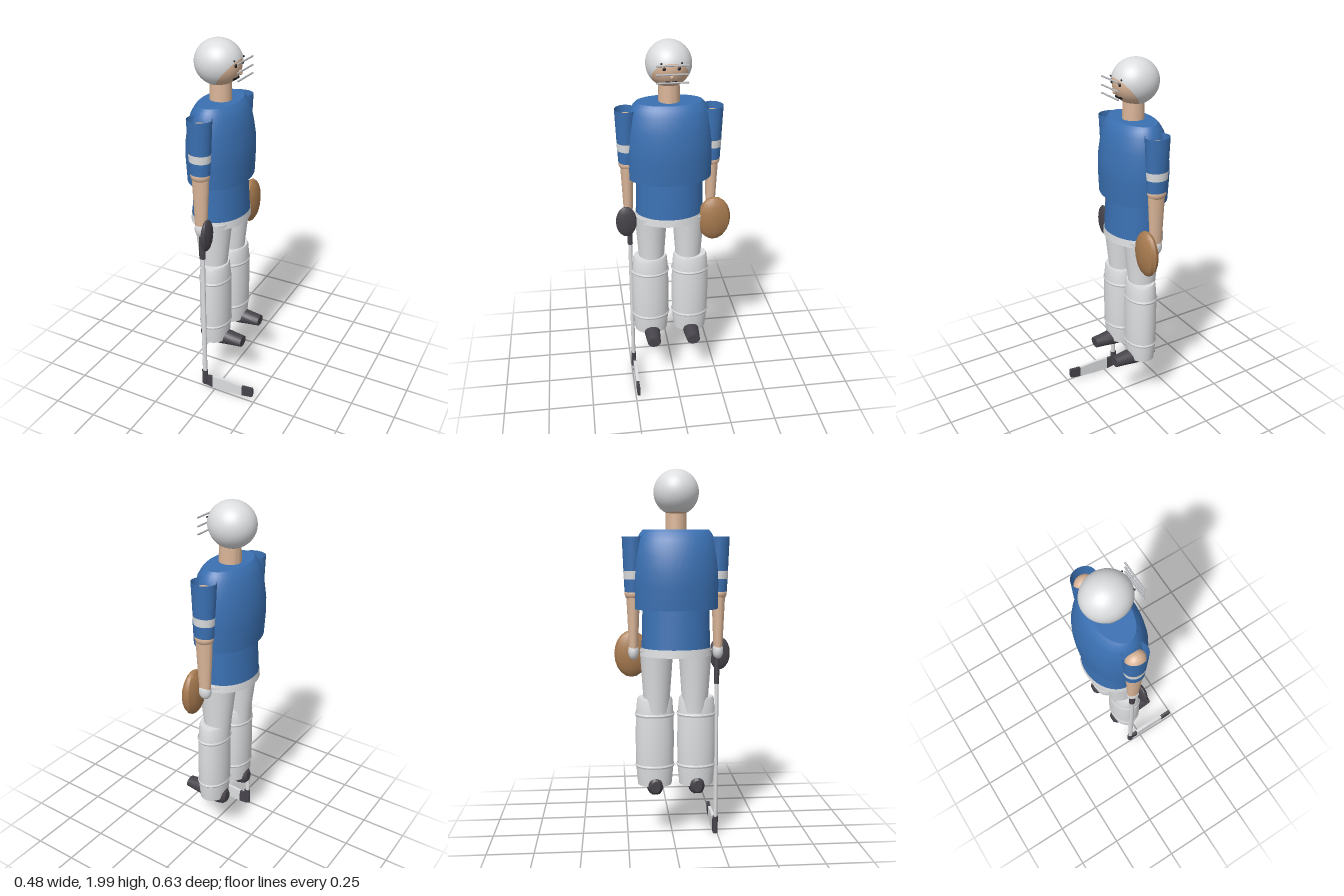
import * as THREE from 'three';
import { toCreasedNormals } from 'three/addons/utils/BufferGeometryUtils.js';

const material = (name, color, side = THREE.FrontSide) => {
  const m = new THREE.MeshStandardMaterial({ color, side });
  m.name = name;
  return m;
};

// Body of elliptical sections, top to bottom: [y, centreX, centreZ, radiusX, radiusZ]
function loft(sections, open = false, sides = 32) {
  const n = sections.length - 1;
  const g = new THREE.CylinderGeometry(1, 1, 1, sides, n, open);
  const p = g.attributes.position;
  for (let i = 0; i < p.count; i++) {
    const [y, cx, cz, rx, rz] = sections[Math.round((0.5 - p.getY(i)) * n)];
    p.setXYZ(i, cx + p.getX(i) * rx, y, cz + p.getZ(i) * rz);
  }
  return toCreasedNormals(g, 0.55);
}

const ball = (x, y, z, rx, ry, rz, w = 24, h = 16) =>
  new THREE.SphereGeometry(1, w, h).scale(rx, ry, rz).translate(x, y, z);

export function createModel() {
  const model = new THREE.Group();
  model.name = 'hockeyGoalie';
  const blue = material('jersey blue', 0x3a70b2, THREE.DoubleSide);
  const white = material('white', 0xdcdddf, THREE.DoubleSide);
  const skin = material('skin', 0xdab598);
  const dark = material('dark grey', 0x47444b);
  const brown = material('leather brown', 0xa87b50);
  const black = material('black', 0x1c1c20);
  const steel = material('cage grey', 0xb4b7bb);

  const add = (name, geometry, mat, parent = model) => {
    const m = new THREE.Mesh(geometry, mat);
    m.name = name;
    parent.add(m);
    return m;
  };
  const group = (name) => {
    const g = new THREE.Group();
    g.name = name;
    model.add(g);
    return g;
  };
  const CZ = 0.015; // middle of the body

  // Head, with the helmet opening towards the face and chin
  const head = group('head');
  add('face', ball(-0.08, 1.88, CZ, 0.121, 0.115, 0.113, 32, 24), skin, head);
  const helmet = new THREE.SphereGeometry(1, 40, 24, 0, Math.PI * 2, 0, Math.PI * 0.71);
  helmet.rotateZ(0.907).scale(0.126, 0.118, 0.118).translate(-0.08, 1.884, CZ);
  add('helmet', helmet, white, head);
  add('neck', loft([[1.81, -0.07, CZ, 0.056, 0.054], [1.68, -0.07, CZ, 0.059, 0.056]]), skin, head);
  add('nose', ball(0.04, 1.845, CZ, 0.013, 0.013, 0.009, 12, 8), skin, head);
  add('mouth', new THREE.BoxGeometry(0.009, 0.012, 0.058).translate(0.016, 1.813, CZ), black, head);
  for (const s of [-1, 1]) {
    add('eye', ball(0.034, 1.885, CZ + s * 0.037, 0.006, 0.009, 0.009, 12, 8), black, head);
    add('helmetScrew', ball(0.033, 1.912, CZ + s * 0.051, 0.005, 0.005, 0.005, 10, 8), black, head);
  }
  // Face cage
  for (const y of [1.91, 1.866, 1.825]) {
    const bar = new THREE.CylinderGeometry(0.0045, 0.0045, 0.162, 10).rotateX(Math.PI / 2);
    add('cageBar', bar.translate(0.068, y, CZ), steel, head);
  }

  // Jersey
  const jersey = group('jersey');
  add('chest', loft([
    [1.693, -0.068, CZ, 0.098, 0.174], [1.675, -0.068, CZ, 0.115, 0.19],
    [1.64, -0.068, CZ, 0.136, 0.208], [1.56, -0.07, CZ, 0.155, 0.222],
    [1.48, -0.07, CZ, 0.168, 0.231], [1.4, -0.07, CZ, 0.169, 0.231],
    [1.28, -0.069, CZ, 0.162, 0.227],
  ], false, 40), blue, jersey);
  add('waist', loft([[1.3, -0.071, CZ, 0.132, 0.178], [1.07, -0.072, CZ, 0.148, 0.184]], false, 40), blue, jersey);
  add('hem', loft([[1.075, -0.072, CZ, 0.15, 0.188], [1.033, -0.072, CZ, 0.153, 0.193]], true, 40), white, jersey);
  add('seat', loft([[1.08, -0.072, CZ, 0.145, 0.182], [1.036, -0.072, CZ, 0.148, 0.186]], false, 40), blue, jersey);

  for (const s of [-1, 1]) {
    // Arms: open sleeve with a stripe, bare forearm and hand
    const arm = group(s > 0 ? 'rightArm' : 'leftArm');
    const z = CZ + s * 0.227;
    add('sleeve', loft([[1.658, -0.068, z, 0.067, 0.057], [1.48, -0.069, z, 0.06, 0.05]], true, 24), blue, arm);
    add('sleeveStripe', loft([[1.48, -0.069, z, 0.061, 0.051], [1.437, -0.069, z, 0.058, 0.049]], true, 24), white, arm);
    add('sleeveEnd', loft([[1.437, -0.069, z, 0.058, 0.048], [1.37, -0.069, z, 0.055, 0.045]], true, 24), blue, arm);
    add('shoulder', ball(-0.068, 1.585, z, 0.054, 0.054, 0.046), skin, arm);
    add('upperArm', loft([[1.59, -0.068, z, 0.054, 0.046], [1.35, -0.069, z, 0.05, 0.04]]), skin, arm);
    add('elbow', ball(-0.069, 1.36, z, 0.053, 0.04, 0.045), skin, arm);
    add('forearm', loft([[1.35, -0.068, z, 0.048, 0.036], [1.07, -0.07, z, 0.034, 0.024]]), skin, arm);
    add('hand', ball(-0.07, 1.052, z, 0.037, 0.048, 0.029), white, arm);

    // Legs
    const leg = group(s > 0 ? 'rightLeg' : 'leftLeg');
    const lz = CZ + s * 0.104;
    add('thigh', loft([
      [1.06, -0.066, lz, 0.107, 0.09], [0.8, -0.066, lz, 0.077, 0.072],
      [0.72, -0.064, lz, 0.074, 0.07],
    ]), white, leg);
    const pz = CZ + s * 0.114;
    const pad = (y, r) => [y, -0.052, pz, r * 0.8, r];
    add('legPad', loft([
      pad(0.8, 0.09), pad(0.785, 0.096), pad(0.7, 0.103), pad(0.56, 0.105),
      pad(0.42, 0.103), pad(0.34, 0.096), pad(0.31, 0.093),
    ]), white, leg);
    for (const y of [0.705, 0.42]) {
      add('padStrap', loft([pad(y + 0.009, 0.105), pad(y, 0.109), pad(y - 0.009, 0.105)], true), white, leg);
    }

    // Skate boots: tapered along x, flat on the sole
    const boot = loft([
      [0.12, 0, 0, 0.028, 0.037], [0.06, 0, 0, 0.035, 0.042], [0, 0, 0, 0.045, 0.046],
      [-0.09, 0, 0, 0.056, 0.047], [-0.125, 0, 0, 0.05, 0.038], [-0.14, 0, 0, 0.03, 0.024],
    ], false, 24).rotateZ(-Math.PI / 2);
    const p = boot.attributes.position;
    for (let i = 0; i < p.count; i++) {
      const height = 0.333 - 0.2 * p.getX(i);
      p.setY(i, Math.max(0.27, Math.min(height + 0.04, 0.313 + p.getY(i) * 1.05)));
    }
    add('skate', toCreasedNormals(boot.translate(0, 0, pz), 0.6), dark, leg);
  }

  // Gloves
  add('blocker', toCreasedNormals(ball(-0.029, 1.03, 0.257, 0.022, 0.09, 0.057, 12, 10), 0.5), dark);
  add('catchingGlove', toCreasedNormals(ball(-0.008, 1.03, -0.222, 0.043, 0.128, 0.093, 12, 10), 0.5), brown);

  // Stick
  const stick = group('stick');
  const sx = -0.07, sz = 0.237;
  const rod = (name, y1, y0, r, mat) =>
    add(name, loft([[y1, sx, sz, r, r * 0.8], [y0, sx, sz, r, r * 0.8]], false, 16), mat, stick);
  rod('grip', 1.03, 0.87, 0.018, dark);
  rod('shaft', 0.88, 0.1, 0.014, white);
  rod('heelTape', 0.115, 0.02, 0.018, dark);
  // Blade pieces given by outline corners
  const blade = (name, corners, mat) => {
    const shape = new THREE.Shape(corners.map(([x, y]) => new THREE.Vector2(x, y)));
    const g = new THREE.ExtrudeGeometry(shape, { depth: 0.016, bevelEnabled: false });
    add(name, g.translate(0, 0, sz - 0.01), mat, stick);
  };
  blade('bladeHeel', [[-0.075, 0.015], [-0.02, 0.008], [-0.02, 0.082], [-0.05, 0.08], [-0.075, 0.06]], dark);
  blade('bladeFace', [[-0.02, 0.008], [0.06, 0.01], [0.17, 0.023], [0.17, 0.085], [0.06, 0.09], [-0.02, 0.086]], white);
  blade('bladeToe', [[0.17, 0.023], [0.235, 0.034], [0.24, 0.06], [0.236, 0.092], [0.17, 0.085]], dark);

  return model;
}
